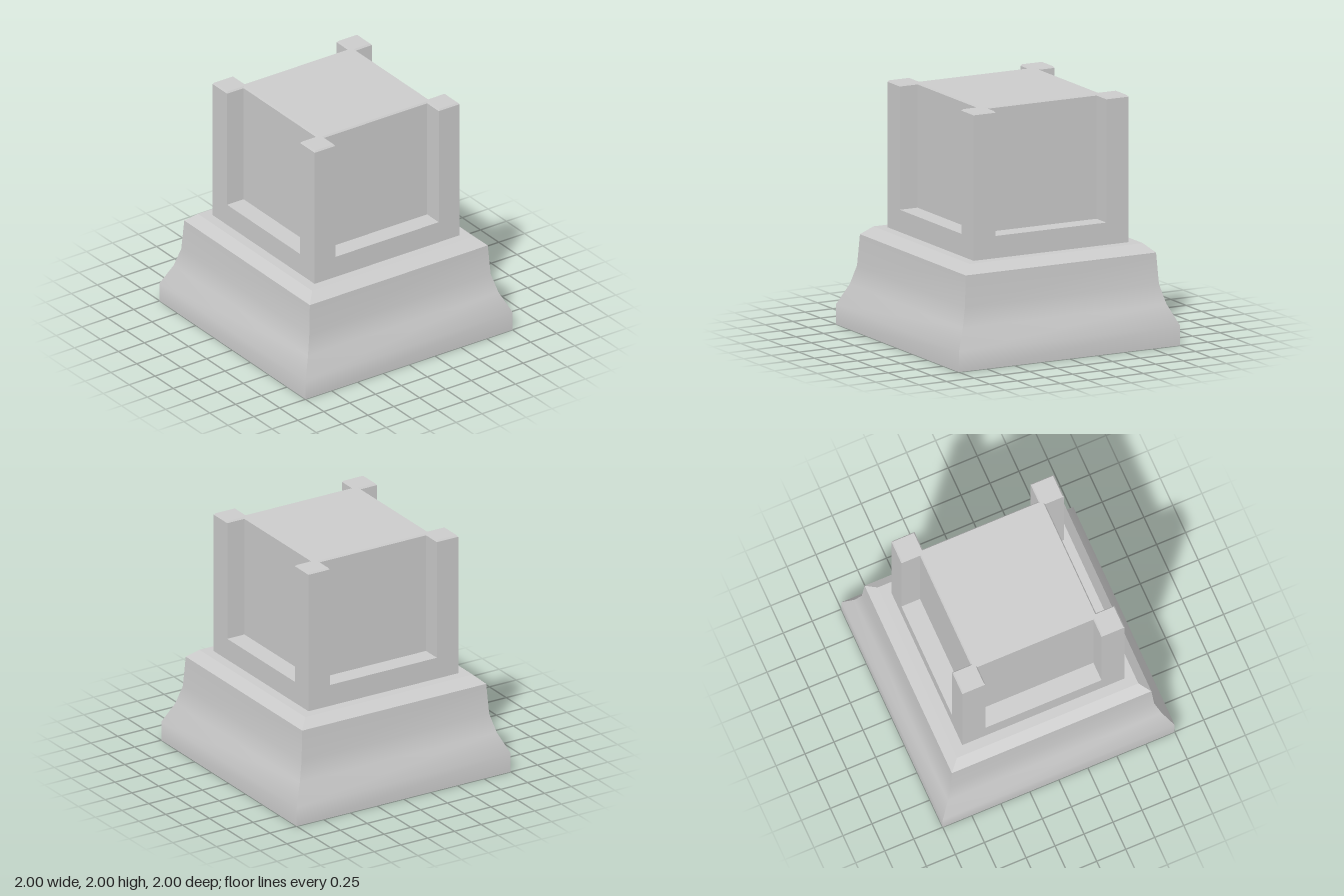
import * as THREE from 'three';
import { mergeGeometries } from 'three/addons/utils/BufferGeometryUtils.js';

// Square loft: profile points are [half width, height], listed bottom to top.
// Each side is smooth along the profile, with sharp corners between sides.
function squareLoft(profile) {
  const sides = [];
  for (let s = 0; s < 4; s++) {
    const pos = [], idx = [];
    profile.forEach(([r, y], i) => {
      pos.push(-r, y, r, r, y, r);
      if (i > 0) {
        const k = 2 * i;
        idx.push(k - 2, k - 1, k + 1, k - 2, k + 1, k);
      }
    });
    const g = new THREE.BufferGeometry();
    g.setAttribute('position', new THREE.Float32BufferAttribute(pos, 3));
    g.setIndex(idx);
    g.computeVertexNormals();
    g.rotateY(s * Math.PI / 2);
    sides.push(g);
  }
  return mergeGeometries(sides);
}

export function createModel() {
  const group = new THREE.Group();
  const material = new THREE.MeshStandardMaterial({ color: 0xcccccc });
  const add = (name, geometry) => {
    const mesh = new THREE.Mesh(geometry, material);
    mesh.name = name;
    group.add(mesh);
    return mesh;
  };

  // Flared plinth: underside, curved flank, bevelled rim and top
  add('plinthUnderside', squareLoft([[0, 0], [1, 0]]));
  add('plinthFlank', squareLoft([[1, 0], [1, 0.16], [0.92, 0.33], [0.877, 0.485], [0.86, 0.74]]));
  add('plinthBevel', squareLoft([[0.86, 0.74], [0.782, 0.81]]));
  add('plinthTop', squareLoft([[0.782, 0.81], [0, 0.81]]));

  // Solid band below the recessed panels
  const bandBottom = 0.8, bandTop = 0.99, outer = 0.7;
  add('lowerBand', new THREE.BoxGeometry(2 * outer, bandTop - bandBottom, 2 * outer))
    .position.y = (bandTop + bandBottom) / 2;

  // Core with four corner posts, its top edge chamfered
  const post = 0.5, panel = 0.54;
  const corner = [[panel, post], [outer, post], [outer, outer], [post, outer], [post, panel]];
  const outline = [];
  for (let q = 0; q < 4; q++) {
    for (const [x, y] of corner) {
      outline.push(new THREE.Vector2(x, y).rotateAround(new THREE.Vector2(), q * Math.PI / 2));
    }
  }
  const chamfer = 0.013, bottom = 0.96;
  const core = new THREE.ExtrudeGeometry(new THREE.Shape(outline), {
    depth: 2 - bottom - 2 * chamfer,
    bevelThickness: chamfer, bevelSize: 0.01, bevelOffset: -0.01, bevelSegments: 1,
  });
  core.rotateX(-Math.PI / 2);
  add('coreAndCornerPosts', core).position.y = bottom + chamfer;

  return group;
}
